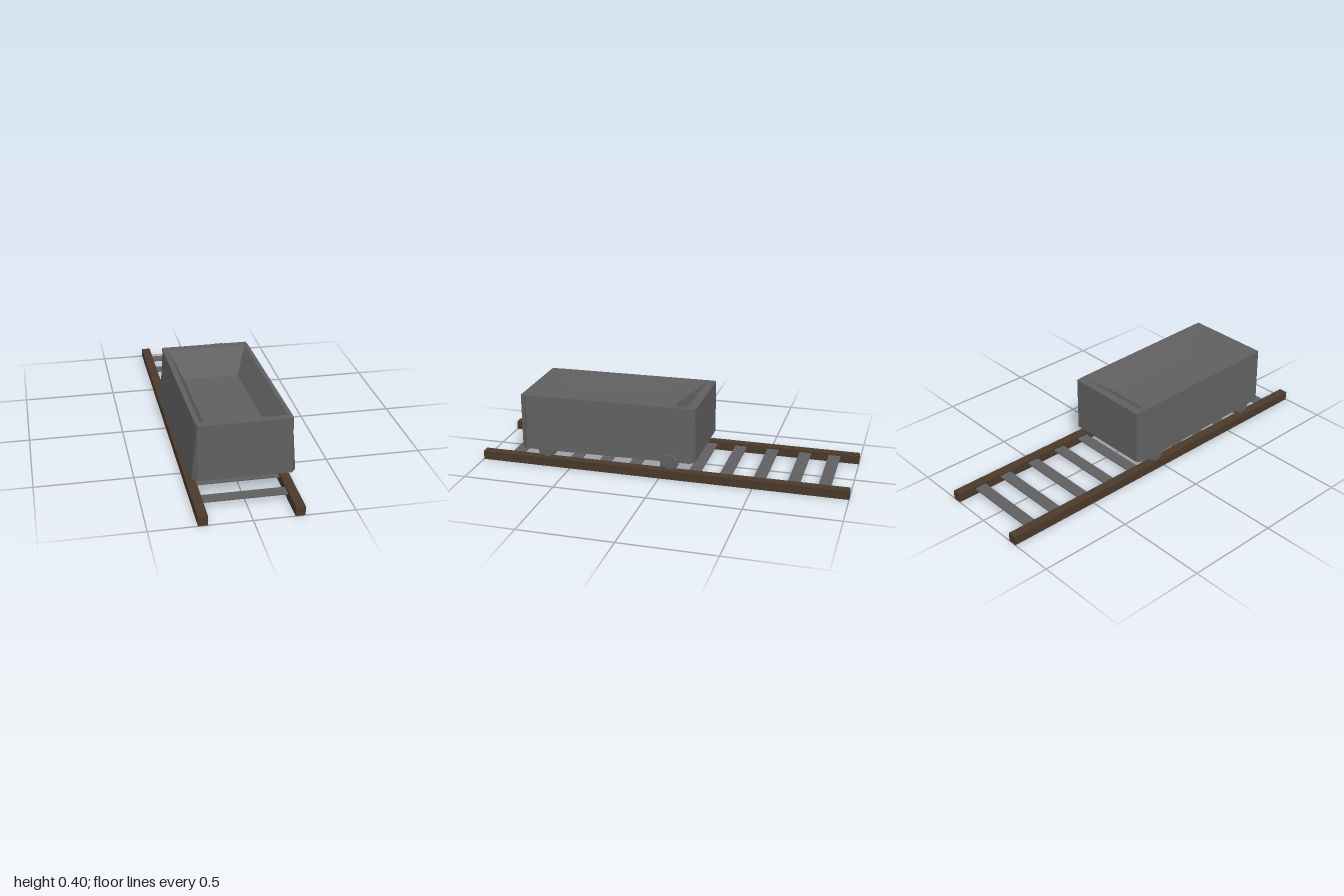
import * as THREE from 'three';

const grey = new THREE.MeshStandardMaterial({ color: 0x606060, flatShading: true });
const brown = new THREE.MeshStandardMaterial({ color: 0x4a3a2a, flatShading: true });

// Box given by its extents along each axis
function slab(name, [x0, x1], [y0, y1], [z0, z1], material) {
  const mesh = new THREE.Mesh(new THREE.BoxGeometry(x1 - x0, y1 - y0, z1 - z0), material);
  mesh.position.set((x0 + x1) / 2, (y0 + y1) / 2, (z0 + z1) / 2);
  mesh.name = name;
  return mesh;
}

// Closed solid through rings of equal length, listed from the outer base to the inner floor
function loft(rings) {
  const pos = [];
  const tri = (a, b, c) => {
    const area = new THREE.Triangle(a, b, c).getArea();
    if (area > 1e-7) for (const p of [a, b, c]) pos.push(p.x, p.y, p.z);
  };
  const n = rings[0].length;
  for (let r = 0; r < rings.length - 1; r++) {
    for (let i = 0; i < n; i++) {
      const j = (i + 1) % n;
      tri(rings[r][i], rings[r][j], rings[r + 1][j]);
      tri(rings[r][i], rings[r + 1][j], rings[r + 1][i]);
    }
  }
  const base = rings[0], floor = rings[rings.length - 1];
  for (let i = 1; i < n - 1; i++) {
    tri(base[0], base[i + 1], base[i]);
    tri(floor[0], floor[i], floor[i + 1]);
  }
  const geo = new THREE.BufferGeometry();
  geo.setAttribute('position', new THREE.Float32BufferAttribute(pos, 3));
  geo.computeVertexNormals();
  return geo;
}

const ring = (y, points) => points.map(([x, z]) => new THREE.Vector3(x, y, z));

// Four corners (front -x, front +x, back +x, back -x) spread over the eight outer points
const corners = (c) => [0, 1, 1, 2, 2, 3, 3, 0].map((i) => c[i]);

function createTub() {
  const tub = new THREE.Mesh(loft([
    ring(0.1, [[-0.222, 0.765], [0.245, 0.765], [0.268, 0.735], [0.246, -0.165],
      [0.22, -0.19], [-0.247, -0.19], [-0.27, -0.16], [-0.248, 0.74]]),
    ring(0.396, [[-0.222, 0.765], [0.245, 0.765], [0.247, 0.735], [0.225, -0.14],
      [0.22, -0.19], [-0.247, -0.19], [-0.249, -0.16], [-0.228, 0.715]]),
    ring(0.396, corners([[-0.204, 0.725], [0.225, 0.725], [0.204, -0.145], [-0.22, -0.145]])),
    ring(0.285, corners([[-0.145, 0.575], [0.15, 0.575], [0.135, 0], [-0.16, 0]])),
  ]), grey);
  tub.name = 'tub';
  return tub;
}

// Wheel with bevelled rims, its axis along x
function createWheel(name, x, z, width) {
  const h = width / 2, R = 0.049;
  const profile = [[0, -h], [R * 0.8, -h], [R, -h * 0.6], [R, h * 0.6], [R * 0.8, h], [0, h]];
  const geo = new THREE.LatheGeometry(profile.map(([r, y]) => new THREE.Vector2(r, y)), 24);
  geo.rotateZ(Math.PI / 2);
  const wheel = new THREE.Mesh(geo, grey);
  wheel.position.set(x, 0.098, z);
  wheel.name = name;
  return wheel;
}

export function createModel() {
  const model = new THREE.Group();
  model.name = 'mineCartOnTrack';

  // Track
  const track = new THREE.Group();
  track.name = 'track';
  track.add(slab('rightRail', [-0.263, -0.215], [0, 0.048], [-1, 1], brown));
  track.add(slab('leftRail', [0.204, 0.252], [0, 0.048], [-1, 1], brown));
  const tieCentres = [-0.867, -0.707, -0.527, -0.347];
  for (let i = 0; i <= 6; i++) tieCentres.push(-0.18 + i / 6);
  for (const z of tieCentres) {
    track.add(slab('tie', [-0.22, 0.21], [0.031, 0.037], [z - 0.032, z + 0.032], grey));
  }
  model.add(track);

  // Cart
  const cart = new THREE.Group();
  cart.name = 'cart';
  cart.add(createTub());
  cart.add(slab('underPlate', [-0.215, 0.222], [0.096, 0.104], [-0.11, 0.69], grey));
  cart.add(createWheel('frontLeftWheel', 0.2365, 0.63, 0.03));
  cart.add(createWheel('backLeftWheel', 0.2365, -0.055, 0.03));
  cart.add(createWheel('frontRightWheel', -0.232, 0.63, 0.034));
  cart.add(createWheel('backRightWheel', -0.246, -0.055, 0.034));
  model.add(cart);

  return model;
}
